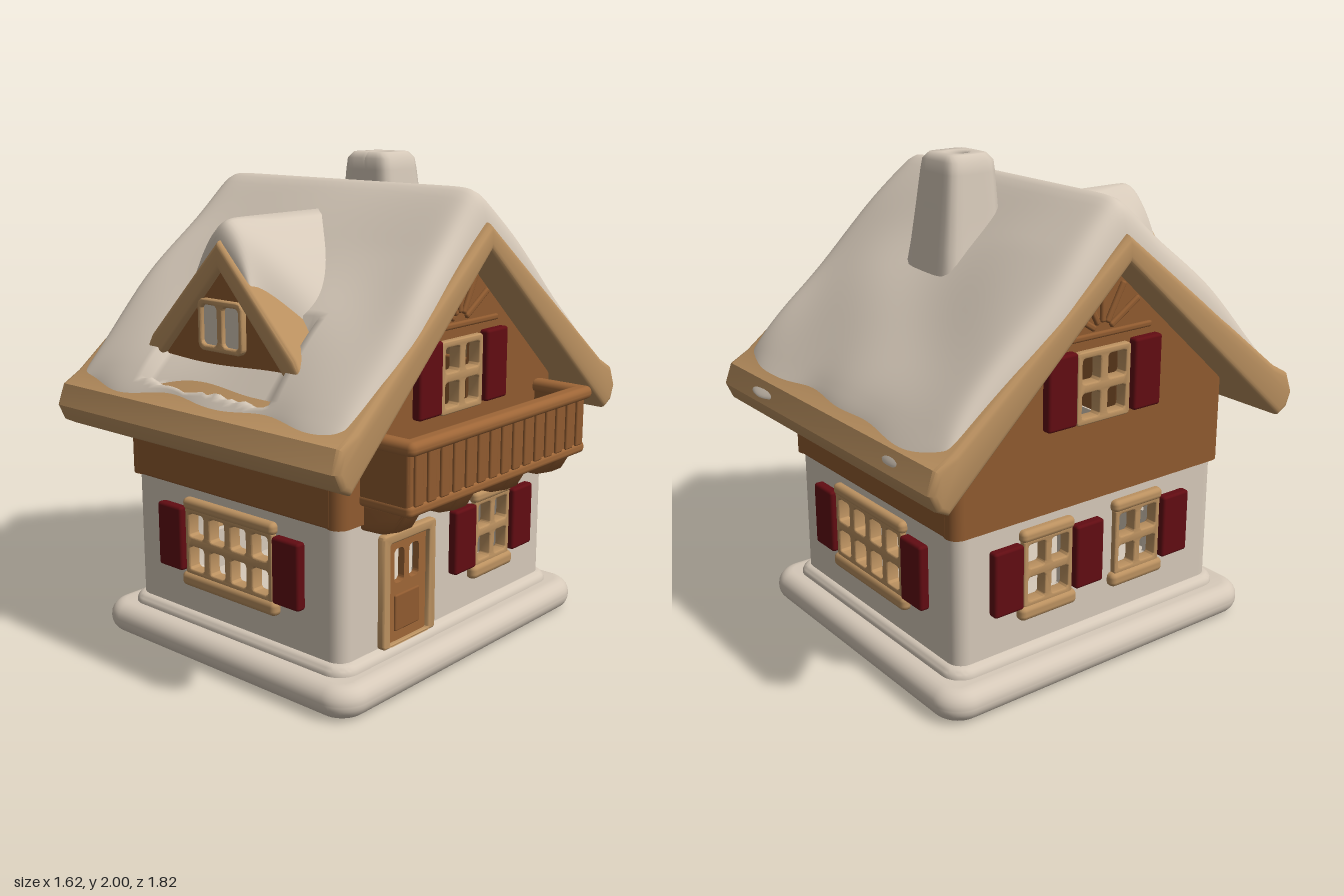
import * as THREE from 'three';
import { toCreasedNormals } from 'three/addons/utils/BufferGeometryUtils.js';
import { RoundedBoxGeometry } from 'three/addons/geometries/RoundedBoxGeometry.js';

const material = (name, color) => Object.assign(new THREE.MeshStandardMaterial({ color }), { name });
const cream = material('cream plaster and snow', 0xd6c9b9);
const tan = material('tan trim', 0xbb9160);
const wood = material('brown wood', 0x8f5a2f);
const honey = material('honey wood', 0x9e6637);
const red = material('shutter red', 0x610c12);

function add(parent, name, geo, mat, x = 0, y = 0, z = 0) {
  const m = new THREE.Mesh(geo, mat);
  m.name = name;
  m.position.set(x, y, z);
  parent.add(m);
  return m;
}
const box = (w, h, d, r = 0.012) => new RoundedBoxGeometry(w, h, d, 2, Math.min(r, w / 2.1, h / 2.1, d / 2.1));

// Rounded rectangle centred on (x, y); works for outlines and holes
function rect(x, y, w, h, r = 0.015, Kind = THREE.Shape) {
  const s = new Kind(), a = w / 2 - r, b = h / 2 - r;
  s.absarc(x + a, y + b, r, 0, Math.PI / 2);
  s.absarc(x - a, y + b, r, Math.PI / 2, Math.PI);
  s.absarc(x - a, y - b, r, Math.PI, Math.PI * 1.5);
  s.absarc(x + a, y - b, r, Math.PI * 1.5, Math.PI * 2);
  s.closePath();
  return s;
}
const polygon = pts => new THREE.Shape(pts.map(p => new THREE.Vector2(...p)));

// Extrusion whose bevel stays inside the outline and the depth
function extrude(shape, depth, bevel = 0, segments = 3) {
  const g = new THREE.ExtrudeGeometry(shape, {
    depth: depth - 2 * bevel, bevelEnabled: bevel > 0, bevelThickness: bevel,
    bevelSize: bevel, bevelOffset: -bevel, bevelSegments: segments, curveSegments: 6
  });
  g.translate(0, 0, bevel);
  return toCreasedNormals(g, 0.7);
}

// Smooth sheet from a function of (u, v) in -1..1, u along x and v along z
function sheet(fn, nu, nv) {
  const pos = [], idx = [];
  const ease = k => Math.sin((k - 0.5) * Math.PI);
  for (let i = 0; i <= nu; i++)
    for (let j = 0; j <= nv; j++) pos.push(...fn(ease(i / nu), ease(j / nv)));
  for (let i = 0; i < nu; i++)
    for (let j = 0; j < nv; j++) {
      const a = i * (nv + 1) + j, b = a + nv + 1;
      idx.push(a, a + 1, b, b, a + 1, b + 1);
    }
  const g = new THREE.BufferGeometry();
  g.setAttribute('position', new THREE.Float32BufferAttribute(pos, 3));
  g.setIndex(idx);
  g.computeVertexNormals();
  return g;
}

// Open window grid with lintel, sill and shutters, on a wall facing local +z
function addWindow(face, half, s, y, cols, pitch, pane, shutters, upper = false) {
  const w = new THREE.Group();
  w.name = 'window';
  w.position.set(s, y, half);
  face.add(w);
  const rows = 0.138, width = cols * pitch, shape = rect(0, 0, width + 0.01, 0.29);
  for (let c = 0; c < cols; c++)
    for (const r of [-0.5, 0.5])
      shape.holes.push(rect((c - (cols - 1) / 2) * pitch, r * rows, pane, 0.1, 0.015, THREE.Path));
  add(w, 'windowFrame', extrude(shape, 0.055, 0.006), tan, 0, 0, -0.03);
  if (!upper) {
    add(w, 'lintel', box(width + 0.03, 0.05, 0.05, 0.02), tan, 0, 0.155, 0.008);
    add(w, 'sill', box(width + 0.05, 0.06, 0.055, 0.022), tan, 0, -0.165, 0.01);
  }
  for (const k of shutters)
    add(w, 'shutter', box(0.14, upper ? 0.29 : 0.27, 0.045), red, k * (width / 2 + 0.085), upper ? 0.01 : 0, 0.018);
}
const opening = (s, y, w) => rect(s, y, w - 0.01, 0.27, 0.01, THREE.Path);

const roofTop = z => (z < 0.8 ? 1.77 - 0.8 * z : 1.13 - 0.55 * (z - 0.8));
const taper = y => 1 - 0.05 * (y - 1);

function addRoof(house) {
  // Tan slab with thick rounded eaves
  const side = [[0.8, 1.13], [0.88, 1.085], [0.91, 1.0], [0.88, 0.935], [0.83, 0.91]];
  const outline = [[0, 1.77], ...side, [0, 1.66], ...side.map(([z, y]) => [-z, y]).reverse()];
  const slab = extrude(polygon(outline), 1.54, 0.025).translate(0, 0, -0.77).rotateY(Math.PI / 2);
  const p = slab.attributes.position;
  for (let i = 0; i < p.count; i++) p.setX(i, p.getX(i) * taper(p.getY(i)));
  add(house, 'roofSlab', slab, tan);

  // Lumpy snow that dives into the slab along a wavy edge
  add(house, 'roofSnow', sheet((u, v) => {
    const reach = (v > 0 ? 0.855 : 0.865) + 0.022 * Math.sin(u * 9 + (v > 0 ? 0.5 : 2)) - (v < 0 ? 0.03 * Math.cos(u * 6) : 0);
    const z = v * reach, az = Math.abs(z);
    let x = u * (0.762 - 0.012 * (1 + Math.sin(z * 8 + 1)));
    const lump = 0.012 * Math.sin(7 * x + 1.5 * Math.sin(6 * z)) + 0.01 * Math.sin(11 * z + 4 * x);
    let top = 1.925 - 0.93 * Math.sqrt(z * z + 0.0009) + lump * Math.min(1, az * 4);
    if (z > 0.55 && z < 0.8 && Math.abs(x) < 0.33) top -= 0.05;
    const base = roofTop(az) - 0.045;
    const fade = Math.sqrt(Math.max(0, 1 - Math.abs(u) ** 22)) * Math.sqrt(Math.max(0, 1 - Math.abs(v) ** 12));
    const y = base + (top - base) * fade;
    return [x * taper(y), y, z];
  }, 70, 90), cream);
}

function addDormer(house) {
  const d = new THREE.Group();
  d.name = 'dormer';
  house.add(d);
  const legs = [[0, 1.71], [-0.39, 1.31], [-0.425, 1.25], [-0.4, 1.23], [-0.34, 1.23], [0, 1.6],
    [0.34, 1.23], [0.4, 1.23], [0.425, 1.25], [0.39, 1.31]];
  add(d, 'dormerRoof', extrude(polygon(legs), 0.51, 0.018), tan, 0, 0, 0.205);
  add(d, 'dormerWall', extrude(polygon([[-0.36, 1.23], [0.36, 1.23], [0, 1.63]]), 0.05), wood, 0, 0, 0.635);
  const frame = rect(0, 1.385, 0.24, 0.2, 0.03);
  for (const k of [-1, 1]) {
    frame.holes.push(rect(k * 0.058, 1.385, 0.085, 0.155, 0.02, THREE.Path));
    add(d, 'dormerPane', box(0.1, 0.17, 0.008), cream, k * 0.058, 1.385, 0.689);
  }
  add(d, 'dormerFrame', extrude(frame, 0.03, 0.006), tan, 0, 0, 0.68);
  // Snow cap, narrow in front and spreading toward the main roof
  add(d, 'dormerSnow', sheet((u, v) => {
    const z = 0.4 + 0.295 * v;
    const w = 0.16 + 0.26 * THREE.MathUtils.smoothstep(0.68 - z, 0, 0.28);
    const x = u * w;
    const slab = 1.735 - 1.04 * Math.sqrt(x * x + 0.0012);
    const end = Math.sqrt(Math.max(0, 1 - Math.max(0, v) ** 14));
    return [x, slab - 0.03 + 0.12 * (1 - u ** 4) * end, z];
  }, 32, 32), cream);
}

function addChimney(house) {
  const pts = [[0.165, 1.5], [0.145, 1.65], [0.13, 1.8], [0.118, 1.93], [0.112, 1.975], [0.09, 2], [0.05, 2], [0.04, 1.985], [0.038, 1.92], [0, 1.92]];
  const g = new THREE.LatheGeometry(pts.map(q => new THREE.Vector2(...q)), 40);
  const p = g.attributes.position;
  for (let i = 0; i < p.count; i++) {
    const x = p.getX(i), z = p.getZ(i), r = Math.hypot(x, z);
    if (r < 0.08) continue;
    const k = ((Math.abs(x) / r) ** 7 + (Math.abs(z) / r) ** 7) ** (-1 / 7);
    p.setXYZ(i, x * k, p.getY(i), z * k * 0.94 - (2 - p.getY(i)) * 0.04);
  }
  g.computeVertexNormals();
  add(house, 'chimney', g, cream, 0, 0, -0.232);
}

function addBalcony(face) {
  const b = new THREE.Group();
  b.name = 'balcony';
  face.add(b);
  add(b, 'balconyFloor', box(1.17, 0.05, 0.26, 0.02), honey, 0, 0.8, 0.695);
  add(b, 'balconyPanel', box(1.16, 0.24, 0.035), wood, 0, 0.92, 0.8);
  add(b, 'balconyRail', box(1.2, 0.055, 0.075, 0.025), honey, 0, 1.033, 0.808);
  for (const k of [-1, 1]) {
    add(b, 'balconySidePanel', box(0.035, 0.24, 0.25), wood, k * 0.565, 0.92, 0.69);
    add(b, 'balconySideRail', box(0.07, 0.055, 0.27, 0.025), honey, k * 0.565, 1.033, 0.705);
  }
  for (let i = 0; i < 15; i++) add(b, 'slat', box(0.05, 0.2, 0.016, 0.007), wood, (i - 7) * 0.076, 0.915, 0.82);
  const profile = polygon([[0.56, 0.67], [0.67, 0.675], [0.74, 0.7], [0.79, 0.785], [0.56, 0.785]]);
  for (const s of [-0.505, -0.17, 0.17, 0.5])
    add(b, 'bracket', extrude(profile, 0.11, 0.02).translate(0, 0, -0.055).rotateY(-Math.PI / 2), wood, s);
}

function addDoor(face, half, s) {
  const d = new THREE.Group();
  d.name = 'door';
  d.position.set(s, 0, half);
  face.add(d);
  const frame = rect(0, 0.395, 0.32, 0.46);
  frame.holes.push(rect(0, 0.38, 0.235, 0.41, 0.01, THREE.Path));
  add(d, 'doorFrame', extrude(frame, 0.05, 0.008), tan, 0, 0, -0.02);
  const leaf = rect(0, 0.38, 0.25, 0.42, 0.01);
  for (const k of [-1, 1]) leaf.holes.push(rect(k * 0.045, 0.48, 0.06, 0.14, 0.02, THREE.Path));
  add(d, 'doorLeaf', extrude(leaf, 0.03), honey, 0, 0, -0.02);
  add(d, 'doorPanel', box(0.15, 0.15, 0.016), wood, 0, 0.29, 0.01);
}

export function createModel() {
  const model = new THREE.Group();
  model.name = 'snowyCottage';
  const house = new THREE.Group();
  house.name = 'house';
  house.position.x = -0.035;
  model.add(house);

  // Rounded plinth and the small step above it
  for (const [w, l, h, r, bevel] of [[1.4, 1.58, 0.13, 0.12, 0.062], [1.22, 1.41, 0.17, 0.09, 0.04]])
    add(house, 'plinth', extrude(rect(0, 0, w, l, r), h, bevel, 6).rotateX(-Math.PI / 2), cream);

  // Rounded corners of both storeys
  for (const sx of [-1, 1])
    for (const sz of [-1, 1]) {
      add(house, 'plasterCorner', new THREE.CylinderGeometry(0.06, 0.06, 0.62, 20), cream, sx * 0.515, 0.41, sz * 0.61);
      add(house, 'woodCorner', new THREE.CylinderGeometry(0.05, 0.05, 0.4, 20), wood, sx * 0.54, 0.9, sz * 0.64);
    }

  const makeFace = (name, turn) => {
    const f = new THREE.Group();
    f.name = name;
    f.rotation.y = turn;
    house.add(f);
    return f;
  };

  // Front and back walls
  for (const [name, turn] of [['frontWall', 0], ['backWall', Math.PI]]) {
    const f = makeFace(name, turn);
    const lower = rect(0, 0.41, 1.03, 0.62, 0.001);
    lower.holes.push(opening(0, 0.48, 0.48));
    add(f, 'plasterWall', extrude(lower, 0.06), cream, 0, 0, 0.61);
    add(f, 'woodWall', box(1.08, 0.38, 0.07, 0.01), wood, 0, 0.89, 0.655);
    addWindow(f, 0.67, 0, 0.48, 4, 0.12, 0.083, [-1, 1]);
  }

  // Gable walls: the left-hand model side carries the balcony and door
  for (const balcony of [true, false]) {
    const f = makeFace(balcony ? 'balconyWall' : 'plainWall', balcony ? Math.PI / 2 : -Math.PI / 2);
    const lower = rect(0, 0.41, 1.22, 0.62, 0.001);
    const spots = balcony ? [[0.25, [-1, 1]]] : [[-0.25, [-1, 1]], [0.215, [1]]];
    for (const [s, shutters] of spots) {
      lower.holes.push(opening(s, 0.48, 0.23));
      addWindow(f, 0.575, s, 0.48, 2, 0.115, 0.083, shutters);
    }
    if (balcony) {
      lower.holes.push(rect(-0.3, 0.39, 0.24, 0.41, 0.01, THREE.Path));
      addDoor(f, 0.575, -0.3);
      addBalcony(f);
    }
    add(f, 'plasterWall', extrude(lower, 0.06), cream, 0, 0, 0.515);
    const gable = polygon([[-0.64, 0.7], [0.64, 0.7], [0.64, 1.1], [0, 1.69], [-0.64, 1.1]]);
    gable.holes.push(opening(0, 1.175, 0.26));
    add(f, 'woodGable', extrude(gable, 0.05), wood, 0, 0, 0.54);
    addWindow(f, 0.59, 0, 1.175, 2, 0.128, 0.09, [-1, 1], true);
    // Fan of carved beams in the gable peak
    add(f, 'gableBeam', box(0.5, 0.025, 0.02), wood, 0, 1.37, 0.595);
    for (const a of [-1, -0.5, 0, 0.5, 1])
      add(f, 'fanBeam', box(0.025, 0.17, 0.02), wood, -Math.sin(a) * 0.13, 1.37 + Math.cos(a) * 0.13, 0.595).rotation.z = a;
  }

  addRoof(house);
  addDormer(house);
  addChimney(house);
  return model;
}
